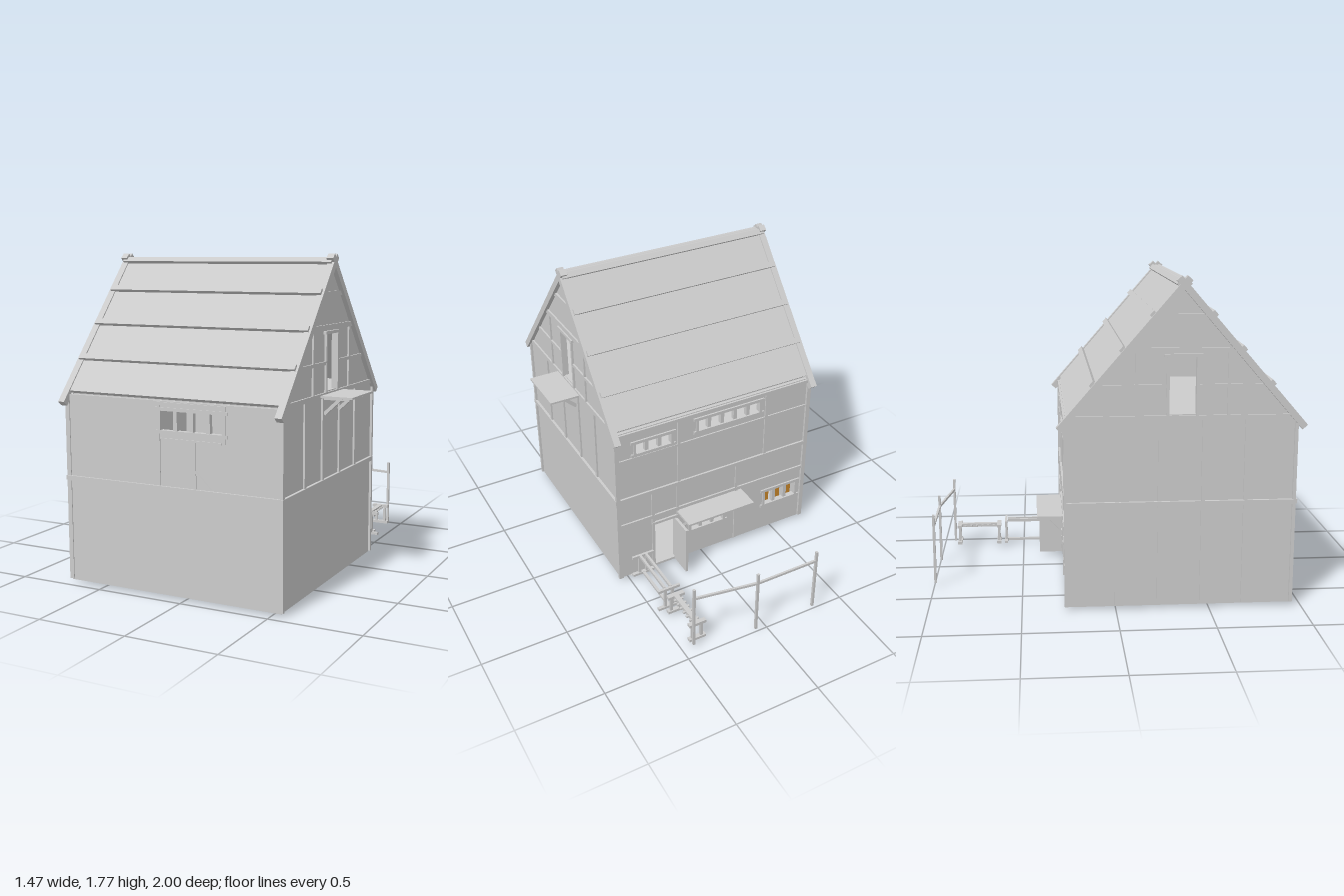
import * as THREE from 'three';

const CX = -0.08, CZ = 0.345;            // centre of the house
const HW = 0.63, HD = 0.605;             // half width and half depth of the walls
const WALL = 0.025;
const RIDGE = 1.757, PITCH = Math.atan2(0.757, 0.655);
const grey = new THREE.MeshStandardMaterial({ color: 0xcccccc, flatShading: true });
const amber = new THREE.MeshStandardMaterial({ color: 0xc8862a, flatShading: true });

function group(name, parent) {
  const g = new THREE.Group();
  g.name = name;
  parent.add(g);
  return g;
}

// box given by its min and max on each axis
function box(parent, name, x0, x1, y0, y1, z0, z1, mat = grey) {
  const m = new THREE.Mesh(new THREE.BoxGeometry(x1 - x0, y1 - y0, z1 - z0), mat);
  m.position.set((x0 + x1) / 2, (y0 + y1) / 2, (z0 + z1) / 2);
  m.name = name;
  parent.add(m);
  return m;
}

// square beam between two points
function beam(parent, name, a, b, w, h = w) {
  const p = new THREE.Vector3(...a), q = new THREE.Vector3(...b);
  const m = new THREE.Mesh(new THREE.BoxGeometry(w, h, p.distanceTo(q)), grey);
  m.position.copy(p).lerp(q, 0.5);
  m.lookAt(q);
  m.name = name;
  parent.add(m);
}

// flat wall with rectangular holes [x0, x1, y0, y1]
function wall(parent, name, points, holes) {
  const s = new THREE.Shape(points.map(p => new THREE.Vector2(...p)));
  for (const [a, b, c, d] of holes) {
    s.holes.push(new THREE.Path([[a, c], [a, d], [b, d], [b, c]].map(p => new THREE.Vector2(...p))));
  }
  const m = new THREE.Mesh(new THREE.ExtrudeGeometry(s, { depth: WALL, bevelEnabled: false }), grey);
  m.name = name;
  parent.add(m);
  return m;
}

// split a window band into panes
function panes(x0, x1, y0, y1, n, gap = 0.022) {
  const w = (x1 - x0 - gap * (n - 1)) / n;
  return Array.from({ length: n }, (_, i) => [x0 + i * (w + gap), x0 + i * (w + gap) + w, y0, y1]);
}

function windowFrame(parent, x0, x1, y0, y1, z0, z1) {
  box(parent, 'windowHeader', x0 - 0.03, x1 + 0.03, y1, y1 + 0.018, z0, z1);
  box(parent, 'windowSill', x0 - 0.03, x1 + 0.03, y0 - 0.018, y0, z0, z1);
  for (const x of [x0 - 0.015, x1]) box(parent, 'windowJamb', x, x + 0.015, y0, y1, z0, z1);
}

function buildWalls(house) {
  const x0 = CX - HW, x1 = CX + HW, zf = CZ + HD, zb = CZ - HD;
  const rect = [[x0, 0.02], [x1, 0.02], [x1, 1.035], [x0, 1.035]];

  // front wall with its four-light window
  const frontPanes = panes(-0.13, 0.23, 0.885, 0.985, 4);
  wall(house, 'frontWall', rect, frontPanes).position.z = zf - WALL;
  const ft = group('frontTimbers', house);
  windowFrame(ft, -0.13, 0.23, 0.885, 0.985, zf - 0.02, zf + 0.006);
  box(ft, 'windowRail', -0.13, 0.225, 0.835, 0.845, zf - 0.01, zf + 0.006);
  box(ft, 'windowLintel', -0.15, 0.25, 1.015, 1.03, zf - 0.01, zf + 0.008);
  for (const x of [-0.14, 0.07, 0.24]) box(ft, 'stud', x - 0.006, x + 0.006, x > 0.2 ? 0.84 : 0.59, x === 0.07 ? 0.84 : 1.02, zf - 0.01, zf + 0.005);
  beam(ft, 'brace', [0.07, 0.69, zf], [0.16, 0.6, zf], 0.01);

  // back wall with doorway and window bands
  const bands = [[0.21, 0.43, 0.88, 0.945, 3], [-0.37, 0.035, 0.905, 0.975, 5],
    [-0.14, 0.08, 0.2, 0.295, 3], [-0.66, -0.44, 0.2, 0.295, 3]];
  const holes = [[0.185, 0.32, 0.022, 0.34], ...bands.flatMap(b => panes(...b))];
  wall(house, 'backWall', rect, holes).position.z = zb;
  const bt = group('backTimbers', house);
  for (const [a, b, c, d] of bands) windowFrame(bt, a, b, c, d, zb - 0.01, zb + 0.02);
  box(bt, 'wallPlate', x0, x1, 1.01, 1.03, zb - 0.012, zb + 0.01);
  box(bt, 'sillRail', x0, x1, 0.845, 0.858, zb - 0.008, zb + 0.01);
  box(bt, 'middleRail', x0, x1, 0.39, 0.41, zb - 0.01, zb + 0.01);
  for (const x of [0.33, 0.17, -0.23]) {
    box(bt, 'lowerStud', x - 0.009, x + 0.009, 0.02, 0.58, zb - 0.008, zb + 0.01);
  }
  for (const x of [0.16, -0.42]) box(bt, 'upperStud', x - 0.009, x + 0.009, 0.59, 1.02, zb - 0.008, zb + 0.01);
  for (const [a, b, c, d] of panes(...bands[3])) {
    box(bt, 'amberPane', a + 0.012, b - 0.012, c, d - 0.03, zb + 0.024, zb + 0.03, amber);
  }

  // gable walls with loft openings
  const top = 1.715;
  const gable = [[-HD, 0.02], [HD, 0.02], [HD, 1.02], [0, top], [-HD, 1.02]];
  for (const s of [1, -1]) {
    const g = group(s > 0 ? 'leftGable' : 'rightGable', house);
    g.position.set(CX, 0, CZ);
    const w = wall(g, 'gableWall', gable, [[-0.07, 0.07, 1.06, 1.36]]);
    w.rotation.y = -Math.PI / 2;
    w.position.x = s > 0 ? HW : -HW + WALL;
    const slab = (name, z0, z1, y0, y1, out = 0.01) => {
      const a = s * (HW - 0.01), b = s * (HW + out);
      box(g, name, Math.min(a, b), Math.max(a, b), y0, y1, z0, z1);
    };
    slab('tieBeam', -HD, HD, 1.03, 1.055);
    slab('collarBeam', -0.3, 0.3, 1.38, 1.408);
    slab('upperCollar', -0.14, 0.14, 1.555, 1.58);
    slab('openingLintel', -0.1, 0.1, 1.36, 1.376, 0.016);
    for (const z of [-0.085, 0.07]) slab('openingJamb', z, z + 0.015, 1.055, 1.36, 0.012);
    for (const m of [-1, 1]) {
      const rail = [[0.085, 0.42, 1.2], [0.23, 0.245, 1.055]];
      slab('gableRail', m < 0 ? -0.42 : 0.085, m < 0 ? -0.085 : 0.42, rail[0][2], 1.218);
      slab('gableStud', m * 0.24 - 0.008, m * 0.24 + 0.008, 1.055, 1.39);
    }
    const low = s > 0 ? 0.59 : 0.02;
    for (const z of [-0.34, -0.115, 0.115, 0.34]) slab('stud', z - 0.01, z + 0.01, low, 1.035);
  }

  // corner posts, storey beam, floors and skids
  for (const x of [x0, x1]) for (const z of [zb, zf]) {
    box(house, 'cornerPost', x - 0.013, x + 0.013, 0.02, 1.03, z - 0.013, z + 0.005);
  }
  box(house, 'storeyBeam', x0 - 0.015, x1 + 0.015, 0.57, 0.595, zb - 0.012, zf + 0.012);
  box(house, 'groundFloor', x0, x1, 0.015, 0.03, zb, zf);
  box(house, 'loftFloor', x0 + 0.02, x1 - 0.02, 1.025, 1.045, zb + 0.02, zf - 0.02);
  for (const z of [0.09, 0.56]) box(house, 'skid', -0.42, 0.53, 0, 0.02, z - 0.01, z + 0.01);
}

function buildRoof(house) {
  const roof = group('roof', house);
  for (const turn of [0, Math.PI]) {
    const side = group(turn ? 'backRoof' : 'frontRoof', roof);
    side.position.set(CX, RIDGE, CZ);
    side.rotation.y = turn;
    const slope = group('slope', side);
    slope.rotation.x = PITCH;
    box(slope, 'roofPanel', -0.63, 0.63, -0.03, -0.006, 0, 0.925);
    for (const x of [-0.655, 0.617]) box(slope, 'vergeBoard', x, x + 0.038, -0.036, 0, -0.022, 1.002);
    for (const s of [0.03, 0.237, 0.474, 0.711]) {
      box(slope, 'batten', -0.643, 0.643, -0.02, 0.014, s - 0.016, s + 0.016);
    }
  }
}

function buildPorches(house) {
  // loft landing on the gable
  const l = group('loftLanding', house);
  box(l, 'landingBoard', 0.555, 0.735, 1.035, 1.046, 0.19, 0.5);
  for (const z of [0.25, 0.445]) {
    beam(l, 'landingBrace', [0.56, 0.945, z], [0.66, 1.038, z], 0.018);
    box(l, 'landingArm', 0.555, 0.7, 1.02, 1.036, z - 0.008, z + 0.008);
  }
  // canopy and open door at the back
  const c = group('canopy', house);
  box(c, 'canopyBoard', -0.265, 0.175, 0.37, 0.383, -0.415, -0.25);
  for (const x of [-0.22, 0.13]) {
    box(c, 'canopyArm', x - 0.01, x + 0.01, 0.35, 0.37, -0.385, -0.25);
    beam(c, 'canopyBrace', [x, 0.26, -0.265], [x, 0.355, -0.36], 0.016);
  }
  box(house, 'openDoor', 0.172, 0.188, 0.02, 0.33, -0.4, -0.26);
  box(house, 'doorLintel', 0.17, 0.34, 0.34, 0.356, -0.272, -0.24);
  const stone = new THREE.Mesh(new THREE.CylinderGeometry(0.05, 0.055, 0.01, 9), grey);
  stone.name = 'stepStone';
  stone.position.set(0.46, 0.013, -0.215);
  house.add(stone);
}

function buildYard(root) {
  // trestle frame
  const t = group('trestle', root);
  for (const x of [0.395, 0.432]) box(t, 'topRail', x - 0.007, x + 0.007, 0.148, 0.165, -0.6, -0.28);
  for (const z of [-0.61, -0.285]) {
    box(t, 'crossBar', 0.345, 0.482, 0.148, 0.165, z - 0.007, z + 0.007);
    box(t, 'foot', 0.345, 0.482, 0.02, 0.035, z - 0.01, z + 0.01);
    for (const x of [0.385, 0.43]) box(t, 'leg', x, x + 0.014, 0.03, 0.15, z - 0.007, z + 0.007);
  }
  box(t, 'groundRail', 0.405, 0.421, 0.02, 0.034, -0.6, -0.28);

  // rack with pegs
  const r = group('pegRack', root);
  box(r, 'rackRail', 0.38, 0.408, 0.122, 0.143, -0.905, -0.64);
  for (const z of [-0.9, -0.655]) {
    box(r, 'endBar', 0.342, 0.445, 0.125, 0.143, z - 0.013, z + 0.013);
    box(r, 'foot', 0.342, 0.445, 0.02, 0.036, z - 0.013, z + 0.013);
    for (const x of [0.36, 0.415]) box(r, 'leg', x, x + 0.015, 0.03, 0.13, z - 0.007, z + 0.007);
  }
  for (let i = 0; i < 6; i++) {
    const z = -0.865 + i * 0.035;
    box(r, 'peg', 0.365, 0.422, 0.126, 0.136, z - 0.006, z + 0.006);
  }

  // posts joined by a rail
  const f = group('railFence', root);
  const posts = [[-0.31, -0.993], [0.07, -0.993], [0.432, -0.933]];
  posts.forEach(([x, z], i) => {
    box(f, 'post', x - 0.007, x + 0.007, 0.02, 0.42, z - 0.007, z + 0.007);
    if (i) beam(f, 'rail', [posts[i - 1][0], 0.356, posts[i - 1][1]], [x, 0.356, z], 0.012, 0.014);
  });
}

export function createModel() {
  const root = new THREE.Group();
  root.name = 'timberHouse';
  const house = group('house', root);
  buildWalls(house);
  buildRoof(house);
  buildPorches(house);
  buildYard(root);
  return root;
}
